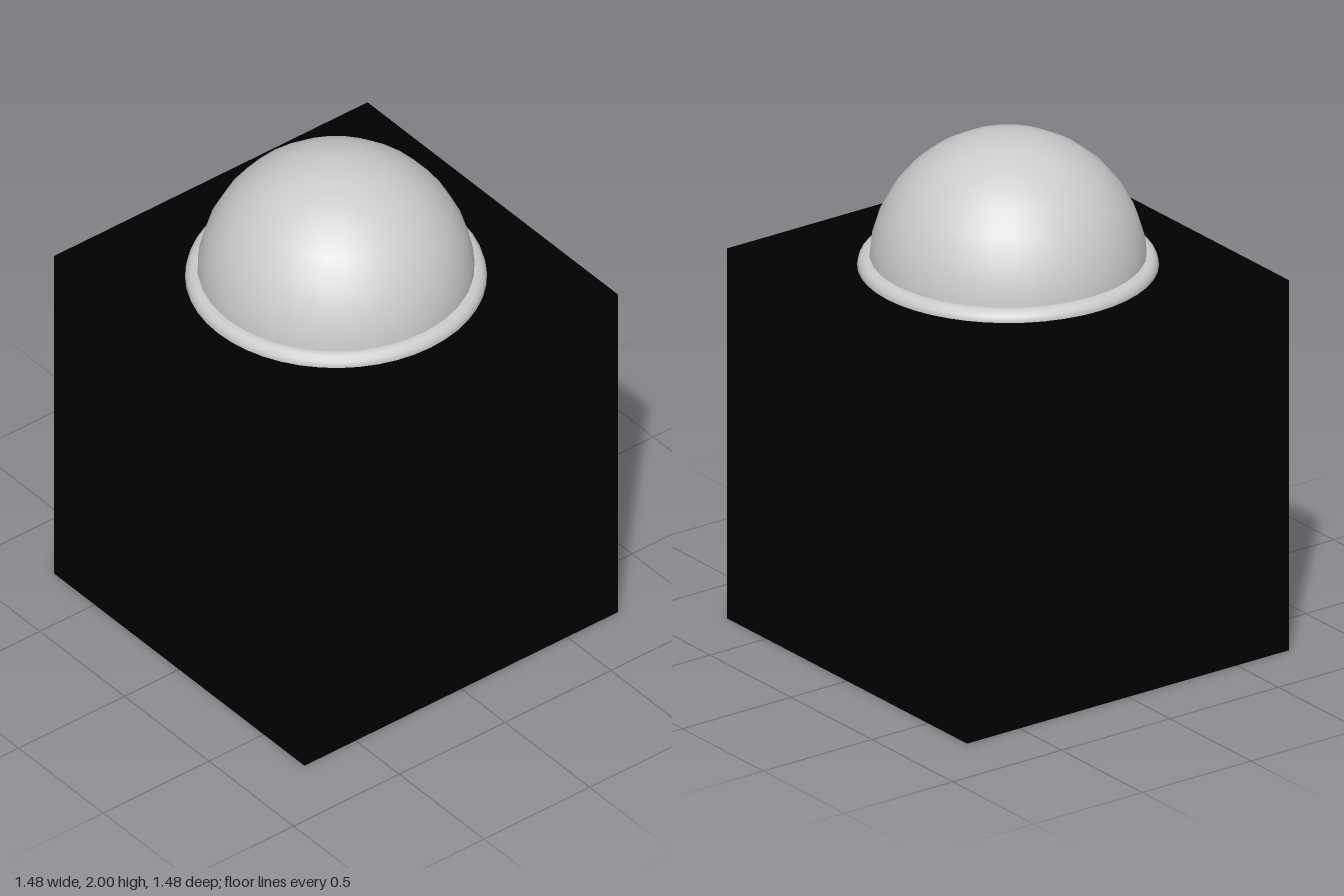
import * as THREE from 'three';

export function createModel() {
  const model = new THREE.Group();
  const side = 1.483;   // edge of the cube, also the height of its top
  const radius = 0.517; // dome radius

  const grey = new THREE.MeshStandardMaterial({ color: 0xcccccc });
  const black = new THREE.MeshStandardMaterial({ color: 0x000000 });

  const add = (name, geometry, material, y) => {
    const mesh = new THREE.Mesh(geometry, material);
    mesh.name = name;
    mesh.position.y = y;
    model.add(mesh);
  };

  // Cube base
  add('base', new THREE.BoxGeometry(side, side, side), black, side / 2);

  // Half-sphere resting on the cube
  add('dome', new THREE.SphereGeometry(radius, 32, 8, 0, Math.PI * 2, 0, Math.PI / 2), grey, side);

  // Rounded ring around the foot of the dome, half sunk into the cube
  add('collar', new THREE.TorusGeometry(0.515, 0.043, 12, 48).rotateX(-Math.PI / 2), grey, side);

  return model;
}
